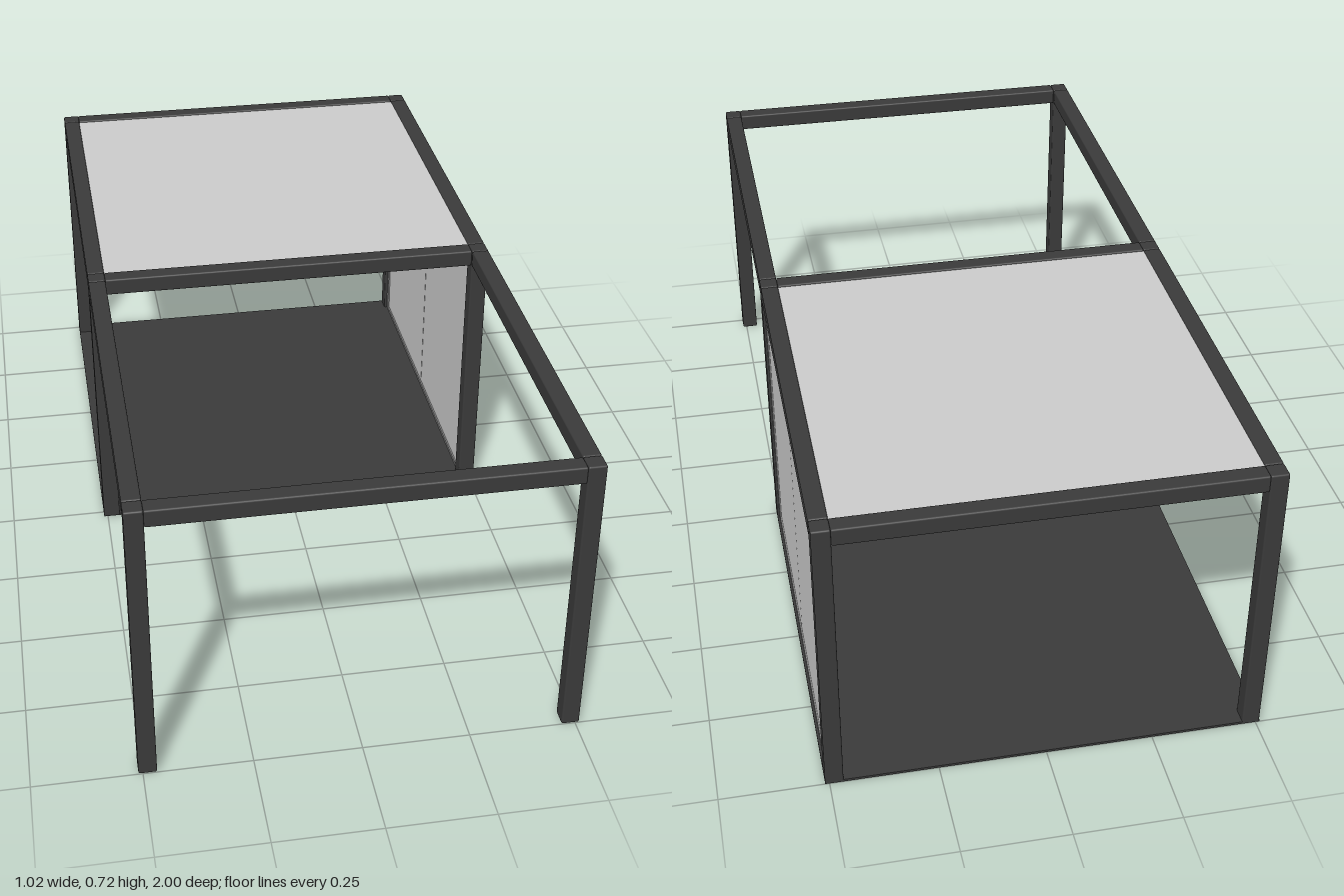
import * as THREE from 'three';
import { RoundedBoxGeometry } from 'three/addons/geometries/RoundedBoxGeometry.js';

const dark = new THREE.MeshStandardMaterial({ color: 0x3a3a3a });
const trim = new THREE.MeshStandardMaterial({ color: 0x8c8c8c });
const pane = new THREE.MeshStandardMaterial({ color: 0xcccccc });

export function createModel() {
  const model = new THREE.Group();

  // Adds a box given its extents along each axis
  function box(name, [x0, x1], [y0, y1], [z0, z1], material, radius = 0) {
    const size = [x1 - x0, y1 - y0, z1 - z0];
    const geometry = radius
      ? new RoundedBoxGeometry(...size, 2, radius)
      : new THREE.BoxGeometry(...size);
    const mesh = new THREE.Mesh(geometry, material);
    mesh.position.set((x0 + x1) / 2, (y0 + y1) / 2, (z0 + z1) / 2);
    mesh.name = name;
    model.add(mesh);
  }

  const H = 0.72, W = 0.51, T = 0.042, R = 0.004;
  const rows = { front: 0.979, middle: 0, back: -0.979 };

  // Posts and cross beams, one bay line at a time
  for (const [row, z] of Object.entries(rows)) {
    const depth = [z - T / 2, z + T / 2];
    box(row + 'LeftPost', [W - T, W], [0, H], depth, dark, R);
    box(row + 'RightPost', [-W, -W + T], [0, H], depth, dark, R);
    box(row + 'CrossBeam', [-W + T, W - T], [H - T, H], depth, dark, R);
  }

  // Side beams of both bays
  for (const [side, x] of [['left', W - T], ['right', -W]]) {
    box(side + 'FrontBeam', [x, x + T], [H - T, H], [T / 2, 0.958], dark, R);
    box(side + 'BackBeam', [x, x + T], [H - T, H], [-0.958, -T / 2], dark, R);
  }

  // Covered bay: floor slab and roof sheet
  box('floor', [-W, W], [0, 0.006], [-1, 0.02], dark);
  box('roofPanel', [-W + T, W - T], [0.7, 0.716], [-0.958, -T / 2], pane);

  // Slim retaining frame under the roof sheet
  const roofY = [0.674, 0.7];
  for (const s of [-1, 1]) {
    box('roofSideTrim', [s * 0.453 - 0.007, s * 0.453 + 0.007], roofY, [-0.95, -0.03], dark);
    const z = -0.49 + s * 0.453;
    box('roofEndTrim', [-0.446, 0.446], roofY, [z - 0.007, z + 0.007], dark);
  }

  // Side wall: two panes separated by a fine joint
  const near = -T / 2, far = -0.958, mid = (near + far) / 2, edge = 0.015;
  const wallX = [0.48, 0.5], trimX = [0.476, 0.504], top = H - T;
  box('wallFrontPane', wallX, [edge, top - edge], [mid + 0.0015, near - edge], pane);
  box('wallBackPane', wallX, [edge, top - edge], [far + edge, mid - 0.0015], pane);
  box('wallJoint', [0.483, 0.497], [edge, top - edge], [mid - 0.0015, mid + 0.0015], trim);

  // Wall border
  box('wallBottomTrim', trimX, [0.001, edge], [far, near], trim);
  box('wallTopTrim', trimX, [top - edge, top], [far, near], trim);
  box('wallFrontTrim', trimX, [edge, top - edge], [near - edge, near], trim);
  box('wallBackTrim', trimX, [edge, top - edge], [far, far + edge], trim);

  return model;
}
